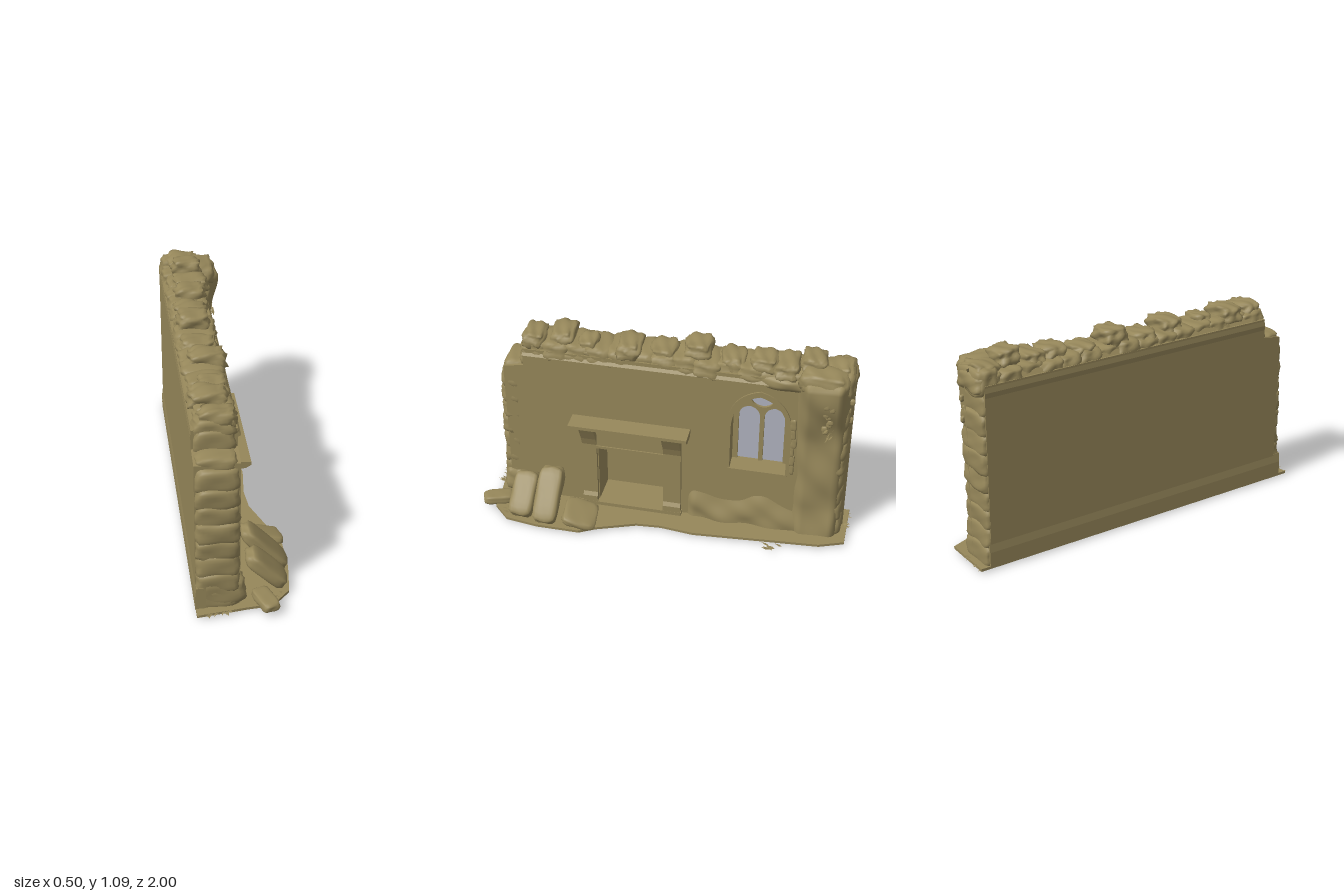
import * as THREE from 'three';
import { mergeVertices } from 'three/addons/utils/BufferGeometryUtils.js';

const stone = new THREE.MeshStandardMaterial({ color: 0x96875a, side: THREE.DoubleSide });
stone.name = 'sandstone';
const glass = new THREE.MeshStandardMaterial({ color: 0xb0b3bf, side: THREE.DoubleSide });
glass.name = 'pale glass';

// Small seeded random generator
let seed = 7;
const rnd = () => (seed = (seed * 16807) % 2147483647) / 2147483647;
const vary = (a, b) => a + (b - a) * rnd();
const step = (a, b, t) => THREE.MathUtils.smoothstep(t, a, b);
const lump = (a, b, c) => Math.sin(a * 3.1 + c) * Math.cos(b * 2.7 - c) + 0.5 * Math.sin(b * 5.3 + a * 4.1 + c);

export function createModel() {
  const root = new THREE.Group();
  const add = (name, geo, mat = stone, parent = root) => {
    const m = new THREE.Mesh(geo, mat);
    m.name = name;
    parent.add(m);
    return m;
  };
  const group = (name) => {
    const g = new THREE.Group();
    g.name = name;
    root.add(g);
    return g;
  };
  // Wall drawings use u = -z to the right and y up; depth runs from x0 to x1
  const slab = (shape, x0, x1) => {
    const g = new THREE.ExtrudeGeometry(shape, { depth: x1 - x0, bevelEnabled: false, curveSegments: 14 });
    return g.rotateY(Math.PI / 2).translate(x0, 0, 0);
  };
  const poly = (pts) => new THREE.Shape(pts.map((p) => new THREE.Vector2(p[0], p[1])));
  const rect = (u0, u1, y0, y1) => poly([[u0, y0], [u1, y0], [u1, y1], [u0, y1]]);
  const gothic = (u0, u1, y0, spring, apex) => {
    const s = new THREE.Shape(), c = spring + (apex - spring) * 0.84;
    s.moveTo(u0, y0);
    s.lineTo(u1, y0);
    s.lineTo(u1, spring);
    s.quadraticCurveTo(u1, c, (u0 + u1) / 2, apex);
    s.quadraticCurveTo(u0, c, u0, spring);
    s.lineTo(u0, y0);
    return s;
  };
  // Block swept along z with a profile in x and y
  const sweep = (pts, z0, z1) =>
    new THREE.ExtrudeGeometry(poly(pts), { depth: z1 - z0, bevelEnabled: false }).translate(0, 0, z0);
  // Lumpy worn block
  const rockGeo = (sx, sy, sz, rough = 0.06, p = 5) => {
    let g = new THREE.BoxGeometry(2, 2, 2, 7, 7, 7);
    g.deleteAttribute('uv');
    g.deleteAttribute('normal');
    g = mergeVertices(g);
    const pos = g.attributes.position, v = new THREE.Vector3(), s = vary(0, 20);
    for (let i = 0; i < pos.count; i++) {
      v.fromBufferAttribute(pos, i);
      const n = Math.pow(Math.abs(v.x) ** p + Math.abs(v.y) ** p + Math.abs(v.z) ** p, 1 / p);
      v.multiplyScalar((1 + rough * lump(v.x + v.z, v.y - v.z, s)) / n);
      pos.setXYZ(i, v.x * sx / 2, v.y * sy / 2, v.z * sz / 2);
    }
    return g;
  };
  // Rock that belongs to the wall, kept in front of the flat back
  const wallRock = (name, x, y, z, sx, sy, sz, parent, rough = 0.07) => {
    const g = rockGeo(sx, sy, sz, rough).rotateX(vary(-0.12, 0.12)).translate(x, y, z);
    const pos = g.attributes.position;
    for (let i = 0; i < pos.count; i++) pos.setX(i, Math.max(pos.getX(i), -0.247));
    g.computeVertexNormals();
    add(name, g, stone, parent);
  };
  // Uneven facing on the wall, x given by a rule
  const relief = (u0, u1, y0, y1, nu, ny, fn) => {
    const g = new THREE.PlaneGeometry(u1 - u0, y1 - y0, nu, ny).translate((u0 + u1) / 2, (y0 + y1) / 2, 0);
    const pos = g.attributes.position;
    for (let i = 0; i < pos.count; i++) pos.setZ(i, fn(pos.getX(i), pos.getY(i)));
    g.rotateY(Math.PI / 2).computeVertexNormals();
    return g;
  };

  // Ground slab
  add('ground', new THREE.ExtrudeGeometry(poly([
    [-0.25, 0.98], [0.03, 0.98], [0.08, 0.85], [0.13, 0.18], [0.11, 0], [0.12, -0.13], [0.2, -0.34], [0.245, -0.42],
    [0.245, -0.65], [0.22, -0.83], [0.13, -0.92], [0, -0.93], [-0.25, -0.96],
  ]), { depth: 0.014, bevelEnabled: false }).rotateX(-Math.PI / 2).translate(0, 0.012, 0));

  // Wall with openings, and the solid back
  const outline = [[-0.87, 0.02], [0.92, 0.02], [0.92, 0.96], [-0.76, 0.96], [-0.76, 0.86], [-0.87, 0.84]];
  const wall = poly(outline);
  wall.holes.push(rect(-0.37, -0.015, 0.045, 0.41), gothic(0.34, 0.64, 0.37, 0.62, 0.85));
  add('wall', slab(wall, -0.2, -0.03));
  add('wallBack', slab(poly(outline), -0.248, -0.2));
  add('backPlinth', sweep([[-0.2, 0.02], [-0.253, 0.02], [-0.253, 0.1], [-0.247, 0.15], [-0.2, 0.15]], -0.93, 0.91));
  add('backCoping', sweep([[-0.2, 0.9], [-0.248, 0.9], [-0.251, 0.925], [-0.248, 0.95], [-0.22, 0.985], [-0.2, 0.99]], -0.92, 0.76));
  add('cornice', sweep([[-0.05, 0.91], [-0.03, 0.912], [-0.016, 0.919], [-0.016, 0.926], [-0.05, 0.96]], -0.53, 0.76));

  // Rough end stones
  const ends = group('endStones');
  for (let i = 0; i < 9; i++) {
    const y = 0.07 + i * 0.098;
    if (i < 8) wallRock('endStone', -0.14, y, 0.842 + vary(-0.008, 0.008) + (i < 2 ? 0.012 : 0), 0.215, 0.128, 0.125, ends, 0.05);
    wallRock('endStone', -0.135, y, -0.893 + vary(-0.01, 0.01), 0.225, 0.128, 0.1, ends, 0.05);
  }
  wallRock('endStone', -0.13, 0.96, -0.89, 0.23, 0.14, 0.12, ends);
  wallRock('footStone', -0.13, 0.1, 0.85, 0.25, 0.15, 0.12, ends);
  wallRock('shoulderStone', -0.14, 0.83, 0.81, 0.2, 0.08, 0.13, ends);
  wallRock('shoulderStone', -0.14, 0.9, 0.74, 0.2, 0.12, 0.09, ends);

  // Broken top course: an even row with taller stones on it
  const top = group('topStones');
  for (let i = 0; i < 15; i++) {
    wallRock('topStone', -0.135 + vary(-0.008, 0.008), 0.955, 0.7 - i * 0.113, vary(0.2, 0.22), vary(0.09, 0.11), 0.15, top, 0.08);
  }
  [[0.71, 1.0, 0.11], [0.56, 1.015, 0.12], [0.42, 0.985, 0.1], [0.2, 1.01, 0.12], [0.03, 0.98, 0.13], [-0.15, 1.03, 0.13],
    [-0.33, 0.985, 0.12], [-0.49, 1.005, 0.13], [-0.61, 1.0, 0.12], [-0.74, 1.04, 0.12], [-0.87, 1.0, 0.13]].forEach(([z, y, w]) =>
    wallRock('looseStone', -0.13 + vary(-0.02, 0.02), y, z, vary(0.14, 0.19), 0.085, w, top, 0.14));

  // Bulging corner, folded back over its top, and rubble facing
  add('bulgingCorner', relief(0.66, 0.955, 0.02, 1.025, 24, 60, (u, y) => {
    const e = step(0.655, 0.74, u) * (1 - step(0.89, 0.955, u));
    const out = 0.035 + 0.07 * step(0.6, 0.97, y) + 0.02 * (1 - step(0.03, 0.2, y));
    const fold = Math.max(0, (y - 0.975) / 0.05);
    return Math.max(-0.15, -0.045 - 0.08 * step(0.92, 0.955, u) - 0.13 * fold * fold + e * (out + 0.009 * lump(u * 6, y * 5, 2)));
  }));
  wallRock('cornerBoulder', -0.035, 0.985, -0.8, 0.15, 0.11, 0.23, root, 0.09);
  add('upperRubble', relief(0.3, 0.72, 0.86, 1.0, 28, 12, (u, y) =>
    -0.06 + step(0.3, 0.66, u) * step(0.86, 0.93, y) * (0.06 + 0.01 * lump(u * 9, y * 9, 1)) - 0.08 * step(0.96, 1, y)));
  add('lowerRubble', relief(0.09, 0.72, 0.02, 0.3, 44, 20, (u, y) =>
    -0.05 + (1 - step(0.06, 0.27, y + 0.03 * lump(u * 5, 1, 0))) * step(0.09, 0.16, u) * (0.048 + 0.009 * lump(u * 7, y * 8, 4))));

  // Window: hood moulding, sill, deep-set tracery and panes, broken plaster edge
  const win = group('window');
  const hood = gothic(0.318, 0.662, 0.37, 0.62, 0.876);
  hood.holes.push(gothic(0.342, 0.638, 0.371, 0.62, 0.845));
  add('windowMoulding', slab(hood, -0.06, -0.022), stone, win);
  add('windowSill', slab(rect(0.335, 0.645, 0.362, 0.378), -0.15, -0.02), stone, win);
  const tracery = gothic(0.34, 0.64, 0.37, 0.62, 0.85);
  tracery.holes.push(gothic(0.368, 0.479, 0.378, 0.65, 0.72), gothic(0.502, 0.61, 0.378, 0.65, 0.72));
  tracery.holes.push(new THREE.Path().absellipse(0.489, 0.77, 0.06, 0.05, 0, Math.PI * 2));
  add('windowTracery', slab(tracery, -0.155, -0.12), stone, win);
  add('windowGlass', slab(gothic(0.35, 0.63, 0.375, 0.62, 0.84), -0.142, -0.134), glass, win);
  for (let i = 0; i < 6; i++) {
    wallRock('plasterEdge', -0.035, 0.42 + i * 0.055, -0.668 + vary(-0.006, 0.006), 0.03, 0.07, vary(0.02, 0.035), win);
  }

  // Fireplace
  const fire = group('fireplace');
  const jamb = [[-0.06, 0.03], [0.004, 0.03], [0.004, 0.08], [-0.01, 0.1], [-0.01, 0.42], [0.005, 0.465],
    [0.032, 0.52], [0.05, 0.556], [-0.06, 0.556]];
  add('leftJamb', sweep(jamb, 0.375, 0.455), stone, fire);
  add('rightJamb', sweep(jamb, -0.085, 0.01), stone, fire);
  add('lintel', slab(rect(-0.38, 0, 0.405, 0.556), -0.06, -0.015), stone, fire);
  add('lintelLip', slab(rect(-0.375, -0.01, 0.4, 0.415), -0.06, -0.008), stone, fire);
  add('mantelShelf', sweep([[-0.05, 0.545], [0.045, 0.548], [0.073, 0.565], [0.073, 0.583], [-0.05, 0.588]], -0.13, 0.505), stone, fire);
  add('hearth', slab(rect(-0.46, 0.09, 0.025, 0.046), -0.2, 0.005), stone, fire);

  // Fallen stones: position, size, then tilt about x, turn about y and lean about z
  const fallen = group('fallenStones');
  [[0.125, 0.148, 0.615, 0.31, 0.07, 0.135, 0, -0.05, -0.82], [0.115, 0.125, 0.755, 0.25, 0.075, 0.135, 0, -0.1, -0.78],
    [0.155, 0.07, 0.43, 0.18, 0.045, 0.18, -0.28, 0.1, -0.2], [0.09, 0.055, 0.915, 0.09, 0.05, 0.16, 0, 0.35, 0]]
    .forEach(([x, y, z, sx, sy, sz, tilt, turn, lean]) => {
      const g = rockGeo(sx, sy, sz, 0.04, 5);
      g.computeVertexNormals();
      const m = add('fallenStone', g, stone, fallen);
      m.position.set(x, y, z);
      m.rotation.set(tilt, turn, lean);
    });

  // Grass tufts on the ground and ivy leaves on the corner
  const plants = group('plants');
  const leaf = new THREE.ShapeGeometry(poly([[0, 0], [0.008, 0.018], [0, 0.045], [-0.008, 0.018]]));
  const tuft = (name, n, x, y, z, dx, dy, dz, flat) => {
    for (let i = 0; i < n; i++) {
      const m = add(name, leaf, stone, plants);
      m.position.set(x + vary(-dx, dx), y + vary(-dy, dy), z + vary(-dz, dz));
      m.rotation.set(vary(-0.15, 0.15) + flat, vary(-0.3, 0.3), vary(-0.5, 0.5));
    }
  };
  tuft('grass', 10, -0.15, 0.02, -0.95, 0.07, 0.003, 0.006, -1.45);
  tuft('grass', 10, -0.16, 0.02, 0.93, 0.07, 0.003, 0.006, 1.45);
  tuft('grass', 8, 0.145, 0.018, -0.64, 0.03, 0.003, 0.05, 1.4);
  tuft('grass', 5, 0.16, 0.024, 0.84, 0.02, 0.003, 0.03, 1.4);
  tuft('ivyLeaf', 8, 0.03, 0.73, -0.86, 0.008, 0.04, 0.03, 2.6);
  for (let i = 0; i < 12; i++) {
    const edge = i % 3 === 0, y = 0.69 + i * 0.018;
    const g = rockGeo(0.022, 0.034, 0.03, 0.05, 3);
    g.computeVertexNormals();
    const x = edge ? -0.07 : -0.008 + 0.07 * step(0.6, 0.97, y);
    add('ivyCluster', g, stone, plants).position.set(x, y, (edge ? -0.935 : -0.84) + vary(-0.018, 0.018));
  }
  return root;
}
